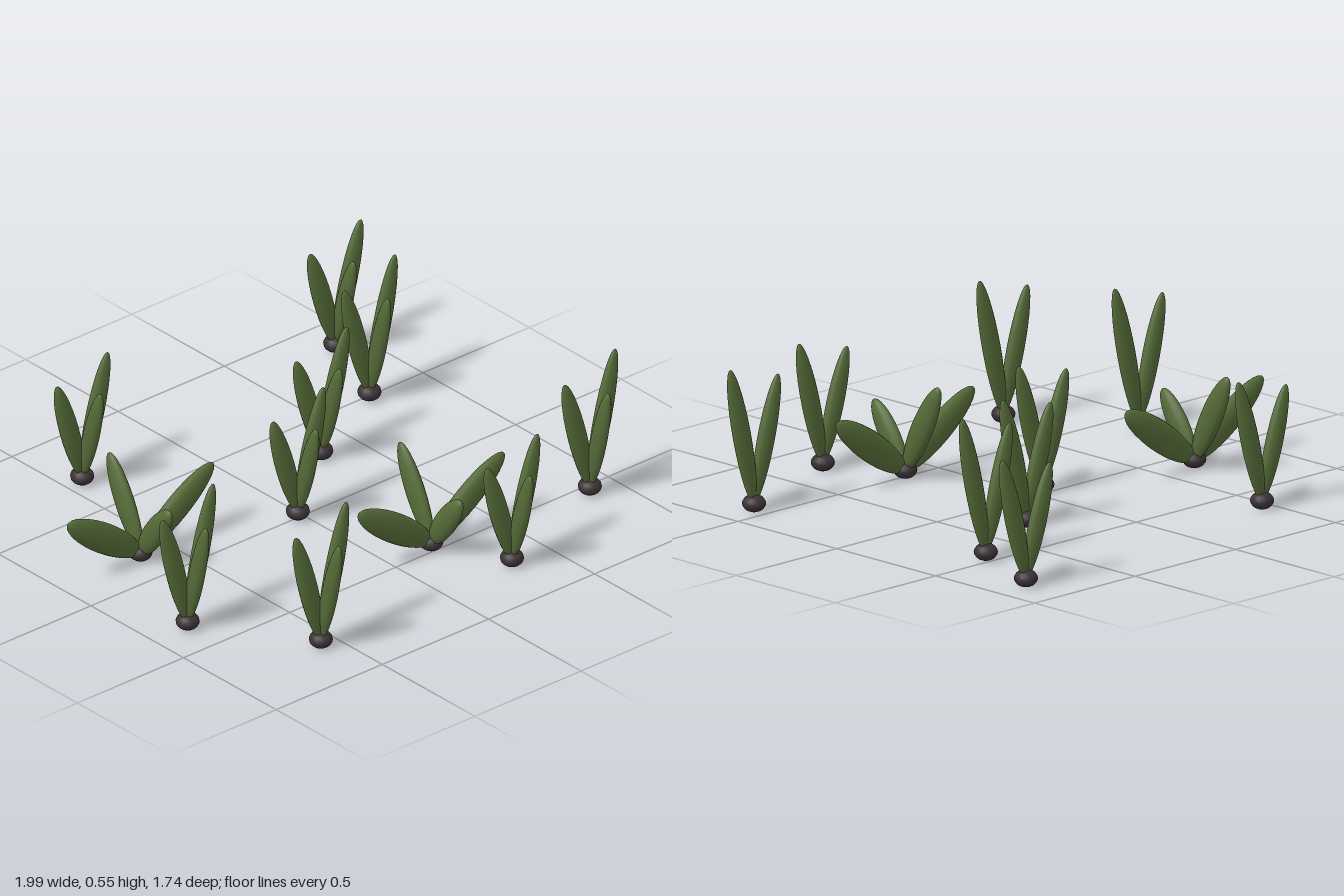
import * as THREE from 'three';

const leafMat = new THREE.MeshStandardMaterial({ color: 0x556b38 });
const baseMat = new THREE.MeshStandardMaterial({ color: 0x3b3235 });
const leafGeo = new THREE.SphereGeometry(1, 16, 16);
const baseGeo = new THREE.SphereGeometry(1, 16, 10);
const ROOT_Y = 0.035;

// Flattened ellipsoid leaf from the root to a tip at (reach, height), turned by yaw about y
function leaf(name, reach, height, yaw, wide, thin) {
  const rise = height - ROOT_Y;
  const mesh = new THREE.Mesh(leafGeo, leafMat);
  mesh.name = name;
  mesh.scale.set(wide, Math.hypot(reach, rise) / 2, thin);
  mesh.position.set(Math.cos(yaw) * reach / 2, ROOT_Y + rise / 2, -Math.sin(yaw) * reach / 2);
  mesh.rotation.set(0, yaw, -Math.atan2(reach, rise));
  return mesh;
}

function plant(name, x, z, leaves) {
  const g = new THREE.Group();
  g.name = name;
  const base = new THREE.Mesh(baseGeo, baseMat);
  base.name = 'rootBulb';
  base.scale.set(0.043, 0.032, 0.043);
  base.position.y = 0.036;
  g.add(base, ...leaves);
  g.position.set(x, 0, z);
  return g;
}

const LEFT = 0, RIGHT = Math.PI, FRONT = -Math.PI / 2, BACK = Math.PI / 2;

// Upright plant with three leaves; h scales its height
function uprightPlant(x, z, h) {
  return plant('uprightPlant', x, z, [
    leaf('leftLeaf', 0.12, 0.55 * h, LEFT, 0.039, 0.024),
    leaf('rightLeaf', 0.12, 0.49 * h, RIGHT, 0.039, 0.024),
    leaf('frontLeaf', 0.1, 0.455 * h, FRONT, 0.035, 0.024),
  ]);
}

// Low plant with four broad leaves
function spreadingPlant(x, z) {
  return plant('spreadingPlant', x, z, [
    leaf('leftLeaf', 0.343, 0.272, LEFT, 0.056, 0.028),
    leaf('rightLeaf', 0.343, 0.272, RIGHT, 0.056, 0.028),
    leaf('frontLeaf', 0.16, 0.265, FRONT, 0.046, 0.028),
    leaf('backLeaf', 0.17, 0.37, BACK, 0.046, 0.028),
  ]);
}

export function createModel() {
  const model = new THREE.Group();
  model.name = 'plantPatch';
  const upright = [
    [-0.85, 0.35, 1], [-0.58, 0.76, 1], [0.87, 0.55, 1], [0.73, -0.48, 1],
    [-0.44, -0.69, 0.9], [0.87, -0.825, 0.9], [0.32, -0.27, 0.9],
    [-0.03, 0.005, 0.9], [0.32, 0.76, 0.9],
  ];
  for (const [x, z, h] of upright) model.add(uprightPlant(x, z, h));
  for (const [x, z] of [[-0.647, -0.137], [0.18, 0.485]]) model.add(spreadingPlant(x, z));
  return model;
}
